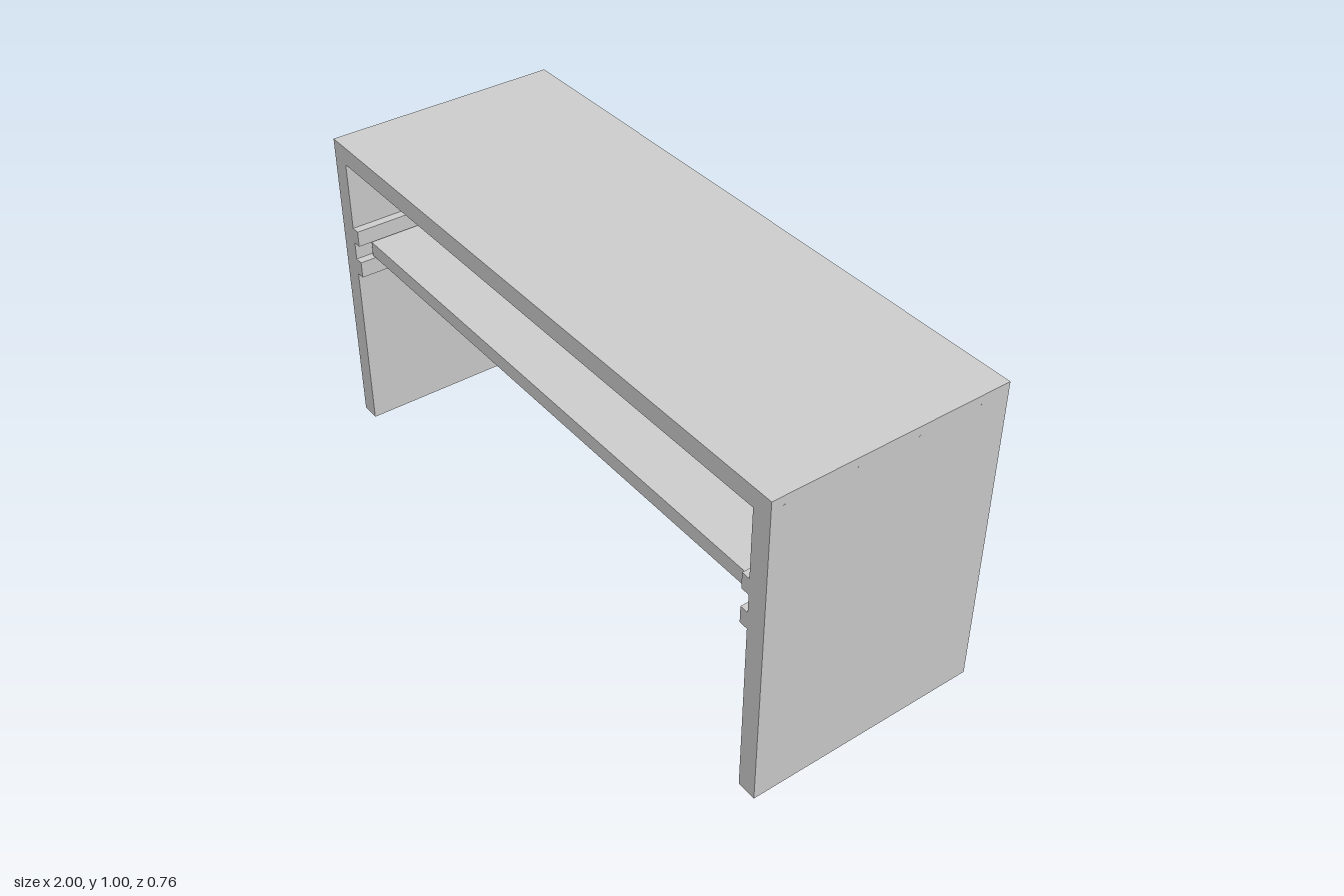
import * as THREE from 'three';

const material = new THREE.MeshStandardMaterial({ color: 0xcccccc });

// Box given by its min and max corners
function box(name, [x0, y0, z0], [x1, y1, z1]) {
  const mesh = new THREE.Mesh(new THREE.BoxGeometry(x1 - x0, y1 - y0, z1 - z0), material);
  mesh.position.set((x0 + x1) / 2, (y0 + y1) / 2, (z0 + z1) / 2);
  mesh.name = name;
  return mesh;
}

export function createModel() {
  const group = new THREE.Group();
  group.name = 'deskWithShelf';

  const H = 0.995, INNER = 0.939, UNDER = 0.936;
  const BACK = -0.361, FRONT = 0.378;

  // Two side panels and the top as one U-shaped frame
  const outline = new THREE.Shape([
    [-1, 0], [-INNER, 0], [-INNER, UNDER], [INNER, UNDER],
    [INNER, 0], [1, 0], [1, H], [-1, H],
  ].map(([x, y]) => new THREE.Vector2(x, y)));
  const frame = new THREE.Mesh(
    new THREE.ExtrudeGeometry(outline, { depth: FRONT - BACK, bevelEnabled: false }), material);
  frame.position.z = BACK;
  frame.name = 'frame';
  group.add(frame);

  // Sliding shelf, poking out slightly at the back
  group.add(box('shelf', [-0.924, 0.612, -0.378], [0.924, 0.659, 0.33]));

  // Short guide rails above and below the shelf, front and back on each side
  const railLength = 0.24, railInner = 0.912;
  for (const side of [-1, 1]) {
    const xs = [side * railInner, side * INNER].sort((a, b) => a - b);
    for (const [level, y0, y1] of [['upper', 0.667, 0.718], ['lower', 0.556, 0.609]]) {
      for (const [end, z0] of [['Front', FRONT - railLength], ['Back', BACK]]) {
        group.add(box(`${level}${end}Rail`, [xs[0], y0, z0], [xs[1], y1, z0 + railLength]));
      }
    }
    // Tiny nail heads along the top of each side panel
    for (const z of [0.34, 0.12, -0.07, -0.27]) {
      const nail = new THREE.Mesh(new THREE.CylinderGeometry(0.003, 0.003, 0.01, 8), material);
      nail.rotation.z = Math.PI / 2;
      nail.position.set(side * 0.9955, 0.966, z);
      nail.name = 'nail';
      group.add(nail);
    }
  }
  return group;
}
